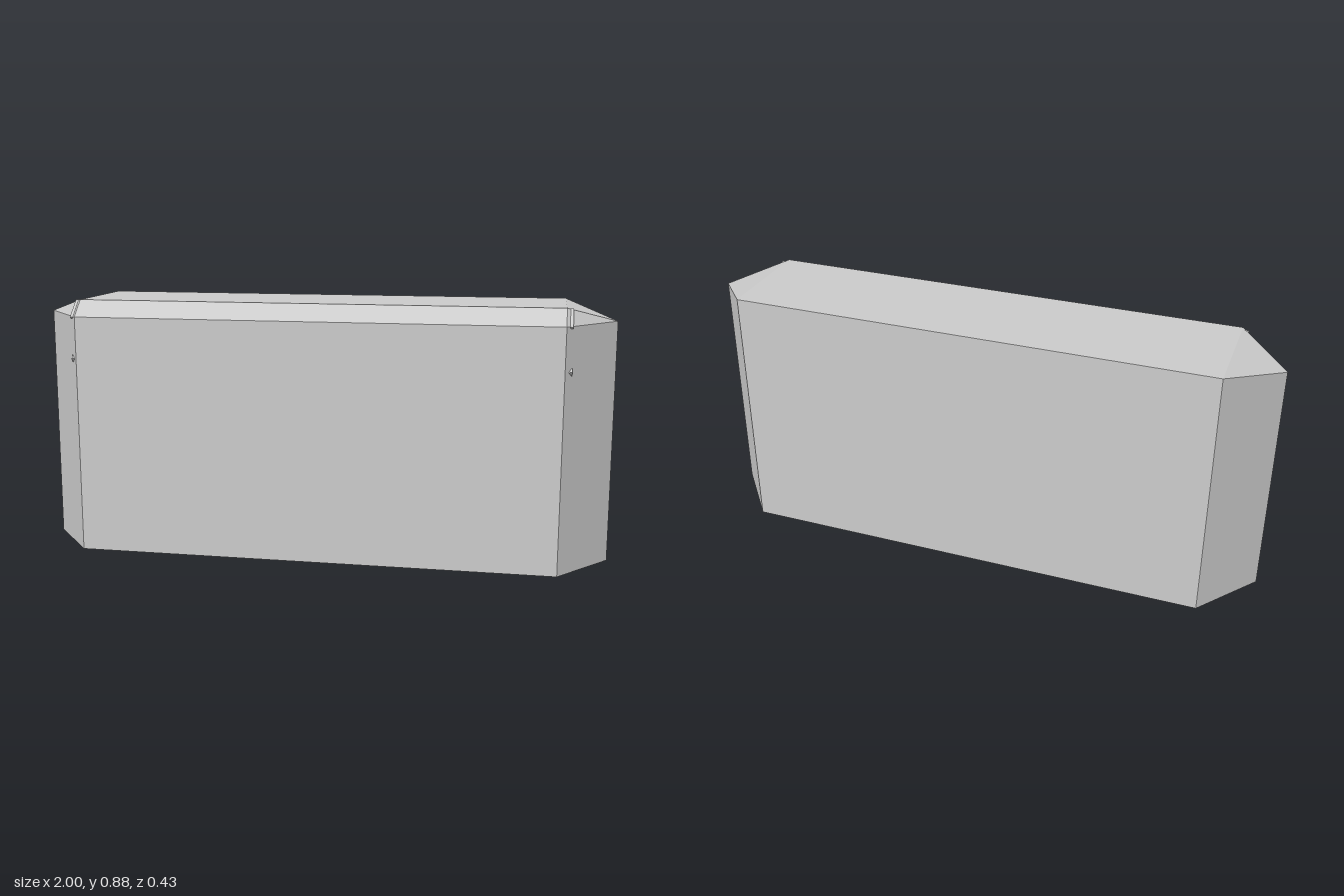
import * as THREE from 'three';

const material = new THREE.MeshStandardMaterial({ color: 0xcccccc, flatShading: true, side: THREE.DoubleSide });

// Builds a faceted shell from convex faces, each a loop of corners
function facets(name, faces) {
  const pos = [];
  for (const f of faces)
    for (let i = 1; i < f.length - 1; i++) pos.push(...f[0], ...f[i], ...f[i + 1]);
  const geo = new THREE.BufferGeometry();
  geo.setAttribute('position', new THREE.Float32BufferAttribute(pos, 3));
  geo.computeVertexNormals();
  const mesh = new THREE.Mesh(geo, material);
  mesh.name = name;
  return mesh;
}

export function createModel() {
  const group = new THREE.Group();
  group.name = 'barrier';
  const W = 0.83, D = 0.215, H = 0.885, S = 0.83, B = 0.157;

  // Upper corners, in order round the plan: front, right tip, back, left tip
  const [fl, fr, tr, br, bl, tl] = [
    [-W, S, D], [W, S, D], [1, S, 0], [W, H, -D], [-W, H, -D], [-1, S, 0],
  ];
  const ring = [fl, fr, tr, br, bl, tl];
  const ground = ([x, , z]) => [x, 0, z];

  // Walls, open underneath
  group.add(facets('walls', ring.map((a, i) => {
    const b = ring[(i + 1) % ring.length];
    return [ground(a), ground(b), b, a];
  })));

  // Flat top, front bevel and sloping end facets
  const vl = [-W, H, B], vr = [W, H, B];
  group.add(facets('top', [[vl, vr, br, bl]]));
  group.add(facets('frontBevel', [[fl, fr, vr, vl]]));
  group.add(facets('rightEndSlopes', [[fr, tr, vr], [vr, tr, br]]));
  group.add(facets('leftEndSlopes', [[tl, fl, vl], [tl, vl, bl]]));

  // Small fittings at both front corners
  for (const side of [-1, 1]) {
    const addBox = (name, size, at, tilt) => {
      const m = new THREE.Mesh(new THREE.BoxGeometry(...size), material);
      m.name = name;
      m.position.set(side * at[0], at[1], at[2]);
      m.rotation.x = tilt;
      group.add(m);
    };
    // Thin clip along the end of the bevel
    addBox('bevelClip', [0.022, 0.08, 0.008], [0.84, 0.853, 0.171], -Math.atan2(0.06, 0.055));
    // Tiny V-shaped hook on the corner below
    for (const s of [-1, 1])
      addBox('hook', [0.016, 0.016, 0.003], [0.845, 0.682 + s * 0.006, 0.193], -s * 0.7);
  }
  return group;
}
